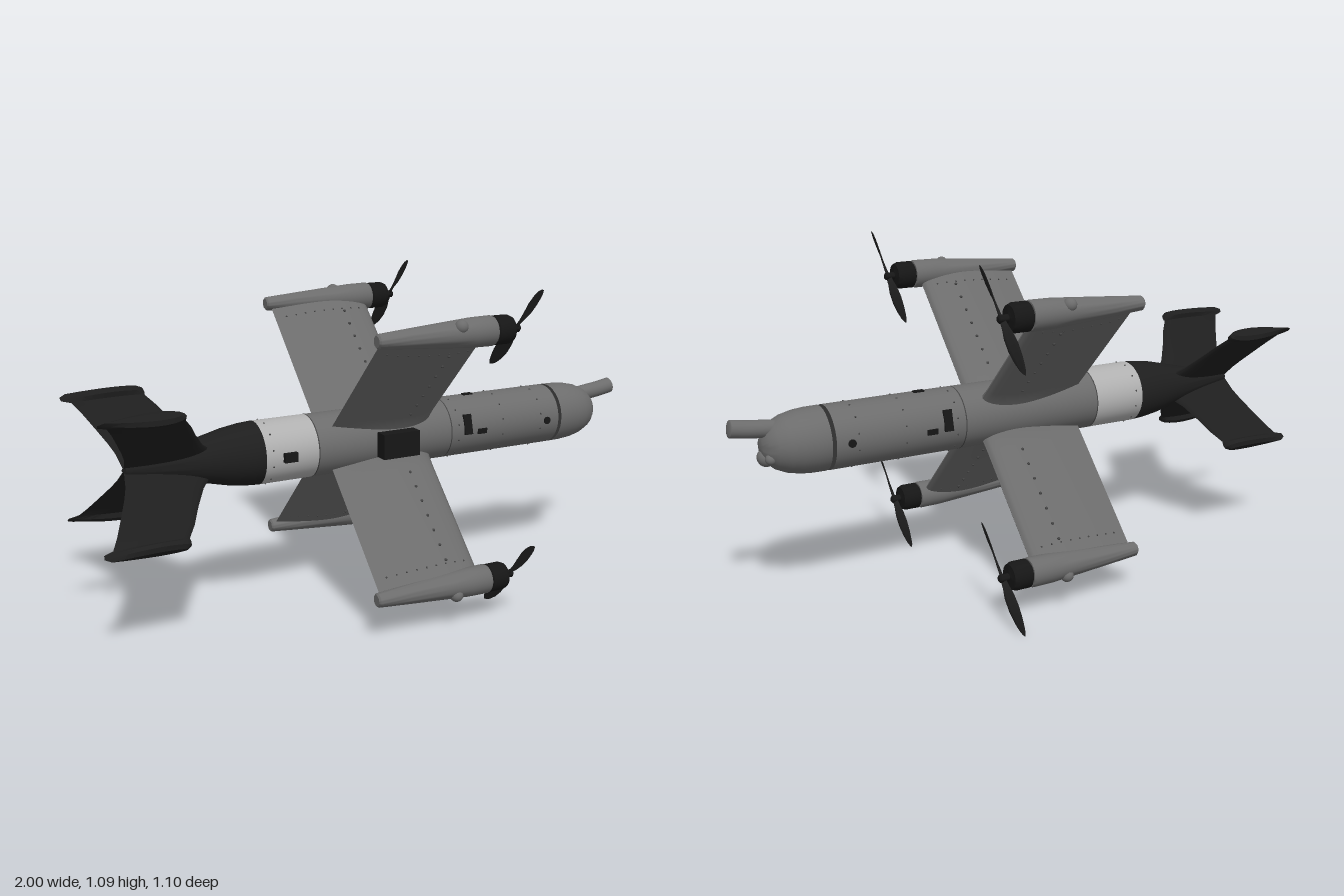
import * as THREE from 'three';
import { toCreasedNormals } from 'three/addons/utils/BufferGeometryUtils.js';

const mat = (name, color) => {
  const m = new THREE.MeshStandardMaterial({ color });
  m.name = name;
  return m;
};
const AXIS_Y = 0.553;  // height of the fuselage axis
const BODY_R = 0.104;
const TIP_R = 0.578;   // distance of the nacelles from the axis

// Lathe around the x axis from [x, radius] pairs
function latheX(profile, segments = 40) {
  const pts = profile.map(([x, r]) => new THREE.Vector2(Math.max(r, 0), x));
  const g = new THREE.LatheGeometry(pts, segments);
  g.rotateZ(-Math.PI / 2);
  return toCreasedNormals(g, 0.6);
}

// Loft of teardrop sections stacked along y: [y, leadingX, trailingX, thickness, twist]
function foil(sections, n = 24) {
  const pos = [], idx = [];
  for (const [y, lead, trail, thick, twist = 0] of sections) {
    for (let j = 0; j < n; j++) {
      const t = (j / n) * Math.PI * 2, c = (1 + Math.cos(t)) / 2;
      const x = trail + (lead - trail) * c;
      const z = 0.65 * thick * Math.sin(t) * Math.sqrt(c);
      pos.push(x * Math.cos(twist) + z * Math.sin(twist), y, z * Math.cos(twist) - x * Math.sin(twist));
    }
  }
  for (let i = 0; i < sections.length - 1; i++) {
    for (let j = 0; j < n; j++) {
      const a = i * n + j, b = i * n + (j + 1) % n;
      idx.push(a, a + n, b, b, a + n, b + n);
    }
  }
  const top = (sections.length - 1) * n;
  for (let j = 1; j < n - 1; j++) idx.push(top, top + j + 1, top + j, 0, j, j + 1);
  const g = new THREE.BufferGeometry();
  g.setAttribute('position', new THREE.Float32BufferAttribute(pos, 3));
  g.setIndex(idx);
  return toCreasedNormals(g, 0.7);
}

export function createModel() {
  const grey = mat('body grey', 0x6c6c6c);
  const light = mat('light grey band', 0xb0b0b0);
  const black = mat('tail black', 0x1e1e1e);
  const dark = mat('fitting black', 0x161616);
  const seam = mat('seam grey', 0x444444);

  const model = new THREE.Group();
  const craft = new THREE.Group();
  craft.name = 'aircraft';
  craft.position.y = AXIS_Y;
  model.add(craft);

  const add = (parent, name, geo, material, x = 0, y = 0, z = 0) => {
    const m = new THREE.Mesh(geo, material);
    m.name = name;
    m.position.set(x, y, z);
    parent.add(m);
    return m;
  };
  const ball = new THREE.SphereGeometry(1, 20, 14);
  const addBall = (parent, name, material, x, y, z, sx, sy = sx, sz = sx) =>
    add(parent, name, ball, material, x, y, z).scale.set(sx, sy, sz);

  // Fuselage, band and tapering tail
  add(craft, 'fuselage', latheX([[-0.25, BODY_R], [0.695, BODY_R]]), grey);
  add(craft, 'lightBand', latheX([[-0.435, BODY_R], [-0.25, BODY_R]]), light);
  add(craft, 'tailCone', latheX([[-0.875, 0], [-0.865, 0.015], [-0.75, 0.042], [-0.62, 0.073],
    [-0.54, 0.092], [-0.48, 0.101], [-0.435, BODY_R]]), black);
  add(craft, 'fuselageFrontCap', latheX([[0.695, BODY_R], [0.695, 0]]), seam);
  for (const x of [-0.25, 0.25]) {
    add(craft, 'seamRing', latheX([[x - 0.002, BODY_R + 0.0006], [x + 0.002, BODY_R + 0.0006]]), seam);
  }

  // Nose dome set off by a narrow gap
  add(craft, 'noseBackCap', latheX([[0.708, 0], [0.708, BODY_R]]), seam);
  add(craft, 'nose', latheX([[0.708, BODY_R], [0.75, 0.1035], [0.79, 0.1], [0.83, 0.091], [0.865, 0.075],
    [0.889, 0.053], [0.902, 0.028], [0.907, 0]]), grey);

  // Probe and sensor bulbs on the nose
  const path = new THREE.CatmullRomCurve3([[0.8, 0.044, 0], [0.88, 0.055, 0], [0.94, 0.062, 0], [0.996, 0.071, 0]]
    .map((p) => new THREE.Vector3(...p)));
  add(craft, 'probe', new THREE.TubeGeometry(path, 16, 0.028, 20), grey);
  const tip = add(craft, 'probeTip', ball, grey, 0.995, 0.071, 0);
  tip.scale.set(0.006, 0.028, 0.028);
  tip.rotation.z = 0.16;
  addBall(craft, 'sensorBulb', grey, 0.885, -0.036, 0.002, 0.03);
  addBall(craft, 'smallSensorBulb', grey, 0.884, -0.032, -0.038, 0.018);

  // Side camera box with lenses
  const camera = new THREE.Group();
  camera.name = 'cameraBox';
  craft.add(camera);
  add(camera, 'boxShell', new THREE.BoxGeometry(0.135, 0.084, 0.045), dark, 0.027, 0.001, 0.131);
  add(camera, 'boxMount', new THREE.BoxGeometry(0.1, 0.05, 0.03), dark, 0.027, 0.001, 0.1);
  for (const y of [-0.022, 0.024]) {
    const lens = add(camera, 'lens', new THREE.CylinderGeometry(0.014, 0.014, 0.008, 20), black, 0.096, y, 0.131);
    lens.rotation.z = Math.PI / 2;
  }

  // Small hatches and ports, placed around the hull by angle from +z towards +y
  const hatch = (name, x, angle, w, h, depth = 0.008) => {
    const pivot = new THREE.Group();
    pivot.name = name;
    pivot.rotation.x = -angle;
    add(pivot, name + 'Plate', new THREE.BoxGeometry(w, h, depth), dark, x, 0, BODY_R);
    craft.add(pivot);
  };
  hatch('antennaBlock', -0.355, 0, 0.045, 0.03, 0.028);
  for (const side of [0, Math.PI]) {
    const s = side ? -1 : 1;
    hatch('tallHatch', 0.315, side + s * 0.24, 0.03, 0.07);
    hatch('smallHatch', 0.372, side - s * 0.04, 0.036, 0.018);
    const port = add(craft, 'port', new THREE.CylinderGeometry(0.013, 0.013, 0.008, 20), dark, 0.645, 0, s * BODY_R);
    port.rotation.x = Math.PI / 2;
  }
  hatch('topPlate', -0.02, Math.PI / 2, 0.09, 0.022);
  hatch('topHatch', 0.372, Math.PI / 2, 0.036, 0.018);

  // Hull rivets
  for (let i = 0; i < 12; i++) {
    const a = (i + 0.5) * Math.PI / 6;
    for (const x of [-0.41, 0.28, 0.46, 0.62]) {
      addBall(craft, 'hullRivet', seam, x, Math.sin(a) * BODY_R, Math.cos(a) * BODY_R, 0.003);
    }
  }

  // Shared geometry for the four arms
  const wingGeo = foil([[0.08, 0.178, -0.19, 0.085], [0.115, 0.176, -0.19, 0.066],
    [0.15, 0.175, -0.19, 0.06], [TIP_R, 0.175, -0.19, 0.056]], 32);
  const finGeo = foil([[0, -0.53, -0.868, 0.035], [0.06, -0.6, -0.878, 0.032], [0.1, -0.637, -0.892, 0.026],
    [0.16, -0.672, -0.918, 0.021], [0.22, -0.702, -0.945, 0.018], [0.262, -0.73, -0.968, 0.018],
    [0.272, -0.728, -0.998, 0.046], [0.286, -0.73, -1, 0.05], [0.297, -0.745, -0.98, 0.025]]);
  const nacelleGeo = latheX([[-0.208, 0], [-0.208, 0.018], [-0.203, 0.023], [-0.1, 0.031], [0.05, 0.042],
    [0.12, 0.047], [0.19, 0.048], [0.197, 0.045], [0.197, 0]], 28);
  const motorGeo = latheX([[0.195, 0.036], [0.203, 0.046], [0.25, 0.046], [0.264, 0.04], [0.266, 0.02],
    [0.268, 0.013], [0.296, 0.013], [0.301, 0.008], [0.302, 0]], 24);
  const bladeGeo = foil([[0.004, 0.009, -0.009, 0.011, 0.8], [0.03, 0.012, -0.012, 0.008, 0.9],
    [0.06, 0.02, -0.018, 0.006, 1.05], [0.1, 0.024, -0.022, 0.005, 1.2], [0.14, 0.021, -0.02, 0.004, 1.28],
    [0.17, 0.014, -0.015, 0.004, 1.33], [0.188, 0.006, -0.01, 0.003, 1.36], [0.196, -0.001, -0.004, 0.002, 1.38]], 16);

  for (let i = 0; i < 4; i++) {
    const angle = Math.PI / 4 + i * Math.PI / 2;
    const arm = new THREE.Group();
    arm.name = 'wingArm';
    arm.rotation.x = angle;
    craft.add(arm);
    add(arm, 'wing', wingGeo, grey);
    add(arm, 'tailFin', finGeo, black);

    // Spar rivets and tip rivets on both wing faces
    for (const s of [-1, 1]) {
      for (let k = 0; k < 7; k++) addBall(arm, 'sparRivet', seam, 0.065, 0.17 + k * 0.055, s * 0.029, 0.005);
      for (let k = 0; k < 9; k++) {
        const x = -0.15 + k * 0.035, c = (x + 0.19) / 0.365;
        const z = 0.65 * 0.056 * 2 * c * Math.sqrt(1 - c);
        addBall(arm, 'tipRivet', seam, x, 0.512, s * z, 0.003);
      }
    }

    // Nacelle, motor and two-bladed propeller
    const pod = new THREE.Group();
    pod.name = 'motorPod';
    pod.position.y = TIP_R;
    arm.add(pod);
    add(pod, 'nacelle', nacelleGeo, grey);
    addBall(pod, 'nacelleBump', grey, 0.07, 0.036, 0, 0.022);
    add(pod, 'motor', motorGeo, dark);
    const propeller = new THREE.Group();
    propeller.name = 'propeller';
    propeller.position.x = 0.287;
    propeller.rotation.x = Math.PI / 4 - angle;
    pod.add(propeller);
    for (const turn of [0, Math.PI]) add(propeller, 'blade', bladeGeo, black).rotation.x = turn;
  }
  return model;
}
